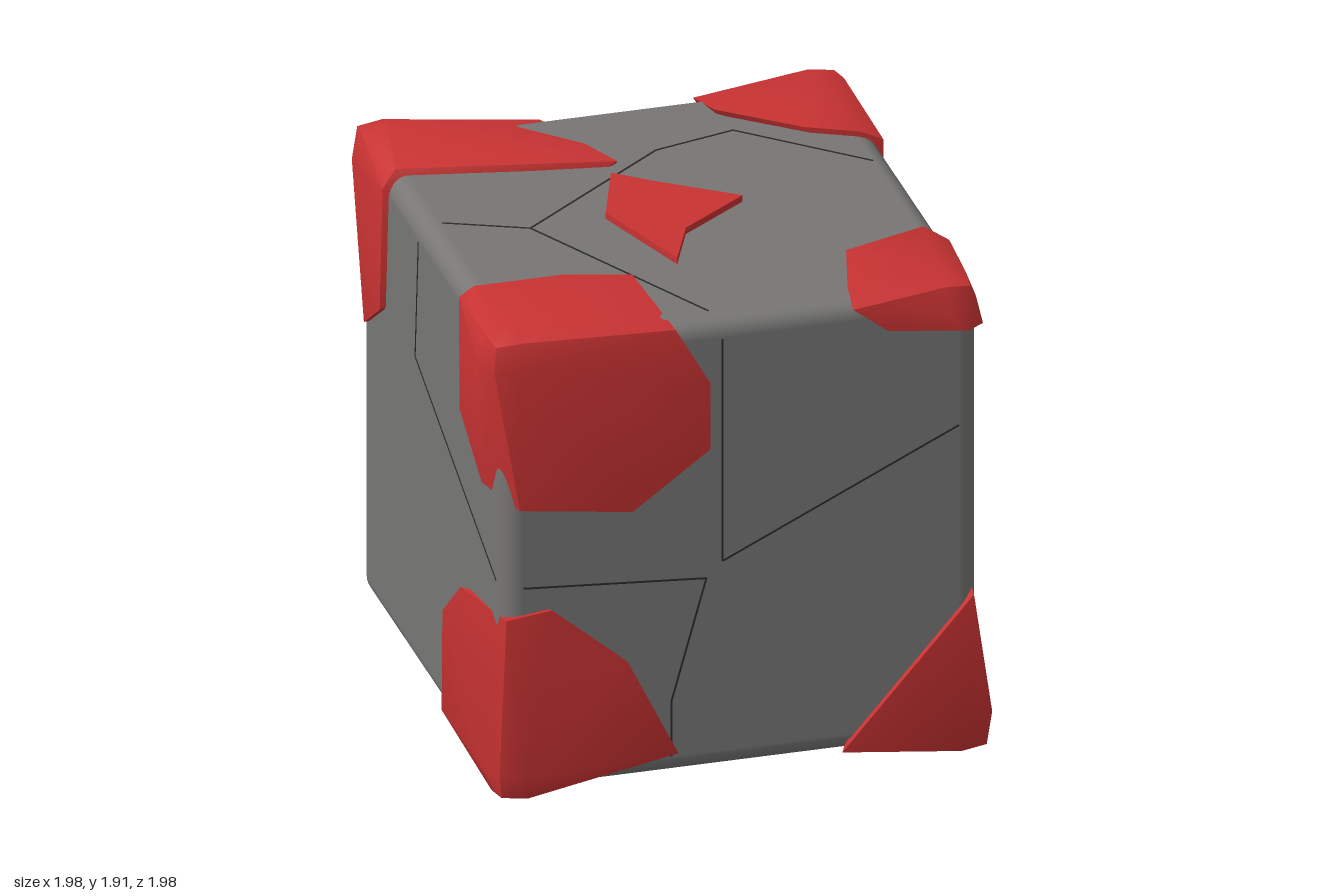
import * as THREE from 'three';
import { toCreasedNormals } from 'three/addons/utils/BufferGeometryUtils.js';
import { RoundedBoxGeometry } from 'three/addons/geometries/RoundedBoxGeometry.js';
import { ConvexGeometry } from 'three/addons/geometries/ConvexGeometry.js';

// Extents of the stone block
const LO = [-0.91, 0.075, -0.885], HI = [0.865, 1.86, 0.905];

// Lifts a 2D point onto a face: x faces take [z, y], y faces [x, z], z faces [x, y]
function onFace(axis, sign, [a, b], off) {
  const f = sign > 0 ? HI[axis] + off : LO[axis] - off;
  return axis === 0 ? new THREE.Vector3(f, b, a)
    : axis === 1 ? new THREE.Vector3(a, f, b) : new THREE.Vector3(a, b, f);
}

// Seven points that blunt the outer corner of a patch
function bluntCorner(outer, signs) {
  const inset = (d) => new THREE.Vector3(...outer.map((o, i) => o - signs[i] * d[i]));
  const pts = [inset([0.045, 0.045, 0.045])];
  for (let i = 0; i < 3; i++) {
    const flat = [0.13, 0.13, 0.13], edge = [0.035, 0.035, 0.035];
    flat[i] = 0;
    edge[i] = 0.14;
    pts.push(inset(flat), inset(edge));
  }
  return pts;
}

export function createModel() {
  const model = new THREE.Group();
  const mat = (name, color) => {
    const m = new THREE.MeshStandardMaterial({ color });
    m.name = name;
    return m;
  };
  const stone = mat('grey stone', 0x777675);
  const red = mat('red crust', 0xc83232);
  const dark = mat('dark seam', 0x2b2b2b);

  const add = (name, geometry, material, parent = model) => {
    const mesh = new THREE.Mesh(geometry, material);
    mesh.name = name;
    parent.add(mesh);
    return mesh;
  };

  // Stone block
  const size = HI.map((h, i) => h - LO[i]);
  add('stoneBlock', new RoundedBoxGeometry(...size, 5, 0.075), stone)
    .position.set(...HI.map((h, i) => (h + LO[i]) / 2));

  // Crust patch: blunt outer corner wrapped together with its rim on the x, y and z faces
  const addPatch = (name, outer, ...rims) => {
    const signs = outer.map((o, i) => Math.sign(o - (HI[i] + LO[i]) / 2));
    const pts = bluntCorner(outer, signs);
    rims.forEach((rim, axis) => {
      for (const p of rim) pts.push(onFace(axis, signs[axis], p, 0.022));
    });
    add(name, toCreasedNormals(new ConvexGeometry(pts), 0.6), red);
  };
  addPatch('topRightFrontPatch', [-0.99, 1.925, 0.995],
    [[0.43, 1.84], [0.44, 1.4], [0.72, 1.24]],
    [[-0.88, 0.44], [-0.55, 0.44], [-0.31, 0.51]],
    [[-0.27, 1.85], [-0.14, 1.62], [-0.14, 1.36], [-0.43, 1.15], [-0.85, 1.21]]);
  addPatch('topRightBackPatch', [-0.955, 1.925, -0.985],
    [[-0.54, 1.82], [-0.58, 1.32], [-0.78, 1.18]],
    [[-0.88, -0.56], [-0.42, -0.49], [-0.1, -0.4]],
    [[-0.24, 1.83], [-0.04, 1.47], [-0.5, 1.15], [-0.88, 1.15]]);
  addPatch('topLeftBackPatch', [0.905, 1.915, -0.97],
    [[-0.39, 1.84], [-0.39, 1.6], [-0.6, 1.36], [-0.87, 1.36]],
    [[0.35, -0.71], [0.62, -0.48], [0.8, -0.39]],
    [[0.33, 1.84], [0.53, 1.5], [0.84, 1.38]]);
  addPatch('topLeftFrontPatch', [0.885, 1.9, 0.925],
    [[0.45, 1.83], [0.5, 1.76], [0.88, 1.7]],
    [[0.4, 0.82], [0.48, 0.53], [0.8, 0.42]],
    [[0.39, 1.84], [0.52, 1.74], [0.82, 1.7]]);
  addPatch('bottomRightFrontPatch', [-0.96, 0.03, 0.96],
    [[0.21, 0.1], [0.22, 0.5], [0.45, 0.7]],
    [[-0.45, 0.4], [-0.88, 0.21]],
    [[-0.9, 0.78], [-0.73, 0.8], [-0.45, 0.56], [-0.26, 0.17]]);
  addPatch('bottomLeftFrontPatch', [0.93, 0.01, 0.98],
    [[0.45, 0.74], [0.24, 0.72], [0.16, 0.57], [0.28, 0.31], [0.44, 0.11]],
    [[0.5, 0.55], [0.84, 0.42]],
    [[0.35, 0.09], [0.84, 0.65]]);
  addPatch('bottomLeftBackPatch', [0.99, 0.03, -0.98],
    [[-0.29, 0.92], [-0.13, 0.56], [-0.28, 0.1]],
    [[0.5, -0.4], [0.83, -0.28]],
    [[0.36, 0.87], [0.22, 0.65], [0.42, 0.1]]);

  // Splinter patch on the top face: a four-pointed star with notched right sides
  const splinter = new THREE.Shape();
  splinter.moveTo(-0.26, 0).lineTo(-0.12, -0.43).lineTo(-0.02, -0.2);
  splinter.lineTo(0.25, 0).lineTo(-0.02, 0.2).lineTo(-0.15, 0.31);
  const splinterGeo = new THREE.ExtrudeGeometry(splinter, { depth: 0.04, bevelEnabled: false });
  add('topSplinter', splinterGeo.rotateX(-Math.PI / 2), red).position.y = HI[1] - 0.015;

  // Hairline seams: thin strips along a polyline on one face
  const addSeam = (name, axis, sign, ...line) => {
    const group = new THREE.Group();
    group.name = name;
    model.add(group);
    const normal = new THREE.Vector3().setComponent(axis, 1);
    const pts = line.map((p) => onFace(axis, sign, p, 0));
    pts.slice(1).forEach((b, i) => {
      const along = b.clone().sub(pts[i]);
      const strip = add('seamStrip', new THREE.BoxGeometry(along.length(), 0.007, 0.004), dark, group);
      along.normalize();
      const across = normal.clone().cross(along);
      strip.quaternion.setFromRotationMatrix(new THREE.Matrix4().makeBasis(along, across, normal));
      strip.position.copy(pts[i]).add(b).multiplyScalar(0.5);
    });
  };
  addSeam('frontUpperSeam', 2, 1, [-0.09, 1.78], [-0.09, 0.9], [0.79, 1.32]);
  addSeam('frontLowerSeam', 2, 1, [-0.83, 0.89], [-0.15, 0.84], [-0.28, 0.37], [-0.28, 0.15]);
  addSeam('leftLongSeam', 0, 1, [0.83, 1.34], [0.27, 1.22], [0.06, 1.02], [-0.81, 0.965]);
  addSeam('leftUpperSeam', 0, 1, [0.27, 1.22], [-0.06, 1.78]);
  addSeam('leftLowerSeam', 0, 1, [0.06, 1.02], [-0.27, 0.15]);
  addSeam('topFrontSeam', 1, 1, [-0.83, -0.13], [-0.54, 0], [-0.12, 0.83]);
  addSeam('topBackSeam', 1, 1, [-0.54, 0], [0.07, -0.49], [0.38, -0.57], [0.79, -0.19]);
  addSeam('backSeam', 2, -1, [0.28, 1.5], [0.55, 1], [0.23, 0.65]);
  addSeam('rightSeam', 0, -1, [-0.16, 1.78], [-0.2, 1.31], [0.83, 0.9]);
  return model;
}
